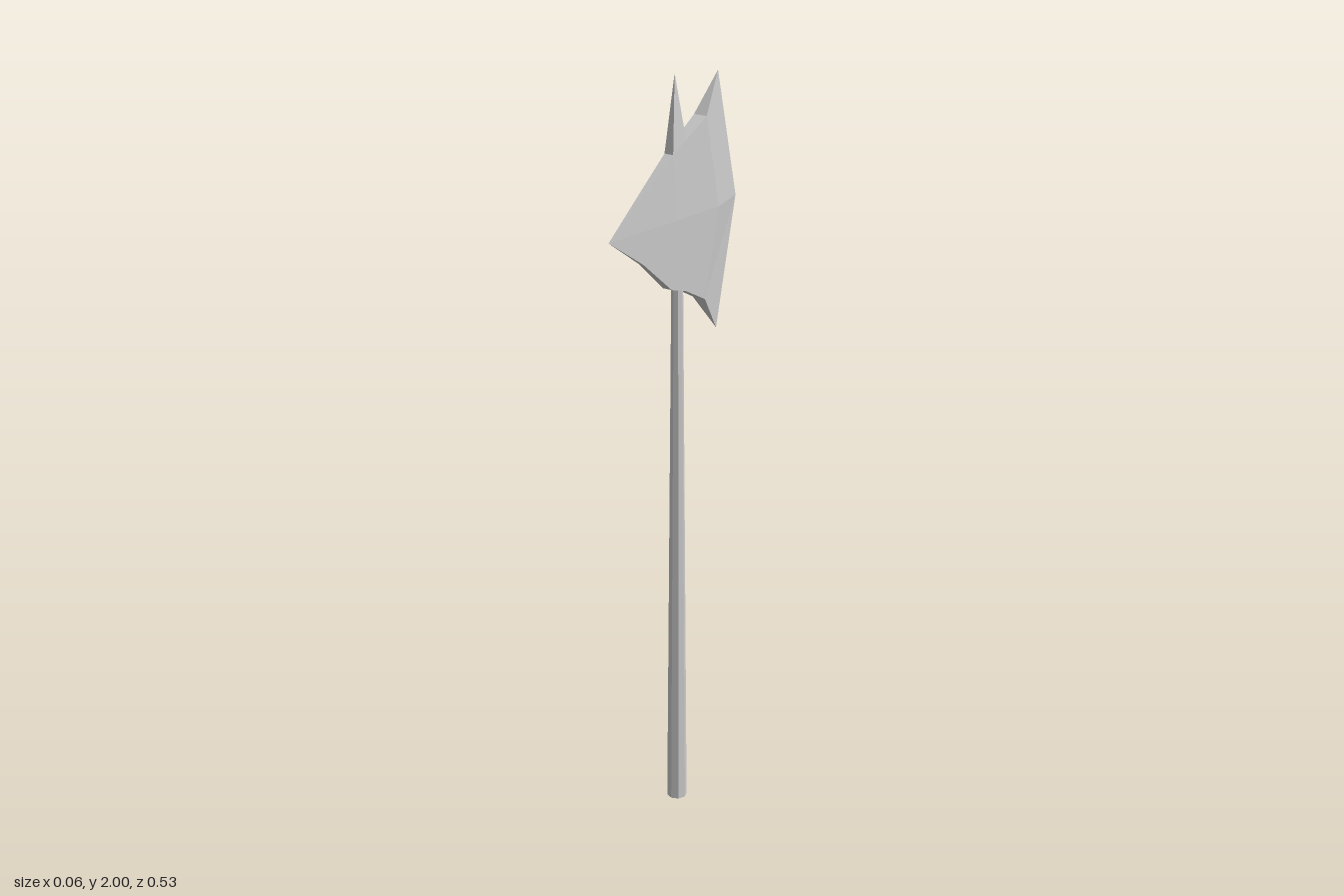
import * as THREE from 'three';

const material = new THREE.MeshStandardMaterial({ color: 0xcccccc, flatShading: true });

// Skin closed rings of equal length, dropping triangles that collapse at points
function loft(rings) {
  const pos = [];
  const add = (a, b, c) => {
    if (new THREE.Triangle(a, b, c).getArea() > 1e-8) for (const p of [a, b, c]) pos.push(p.x, p.y, p.z);
  };
  for (let r = 0; r < rings.length - 1; r++) {
    const a = rings[r], b = rings[r + 1], n = a.length;
    for (let i = 0; i < n; i++) {
      const j = (i + 1) % n;
      add(a[i], a[j], b[i]);
      add(a[j], b[j], b[i]);
    }
  }
  const geo = new THREE.BufferGeometry();
  geo.setAttribute('position', new THREE.Float32BufferAttribute(pos, 3));
  geo.computeVertexNormals();
  return geo;
}

const v = (x, y, z) => new THREE.Vector3(x, y, z);

export function createModel() {
  const group = new THREE.Group();
  const part = (name, geo) => {
    const mesh = new THREE.Mesh(geo, material);
    mesh.name = name;
    group.add(mesh);
    return mesh;
  };

  // Tapered octagonal shaft, one corner facing sideways
  const shaftHeight = 1.48;
  part('shaft', new THREE.CylinderGeometry(0.015, 0.027, shaftHeight, 8))
    .position.set(0, shaftHeight / 2, -0.011);

  // Axe head: sections from the front beak to the rear cutting edge
  // [top z, middle z, bottom z, top y, bottom y, edge half width, middle half width]
  const midY = 1.643;
  const sections = [
    [0.267, 0.267, 0.267, midY, midY, 0, 0],
    [0.14, 0.14, 0.14, 1.729, 1.56, 0.007, 0.009],
    [0.024, 0.015, 0.03, 1.807, 1.468, 0.013, 0.018],
    [-0.027, -0.03, -0.025, 1.834, 1.452, 0.015, 0.021],
    [-0.108, -0.15, -0.105, 1.878, 1.41, 0.019, 0.028],
    [-0.183, -0.266, -0.183, 1.977, 1.309, 0, 0],
  ];
  part('axeHead', loft(sections.map(([zt, zm, zb, yt, yb, we, wm]) => [
    v(we, yt, zt), v(wm, midY, zm), v(we, yb, zb),
    v(-we, yb, zb), v(-wm, midY, zm), v(-we, yt, zt),
  ])));

  // Four-sided spike on top of the head
  const base = [v(0.013, 1.807, 0.024), v(0.015, 1.834, -0.027), v(-0.015, 1.834, -0.027), v(-0.013, 1.807, 0.024)];
  part('topSpike', loft([base, base.map(() => v(0, 2, 0))]));

  return group;
}
